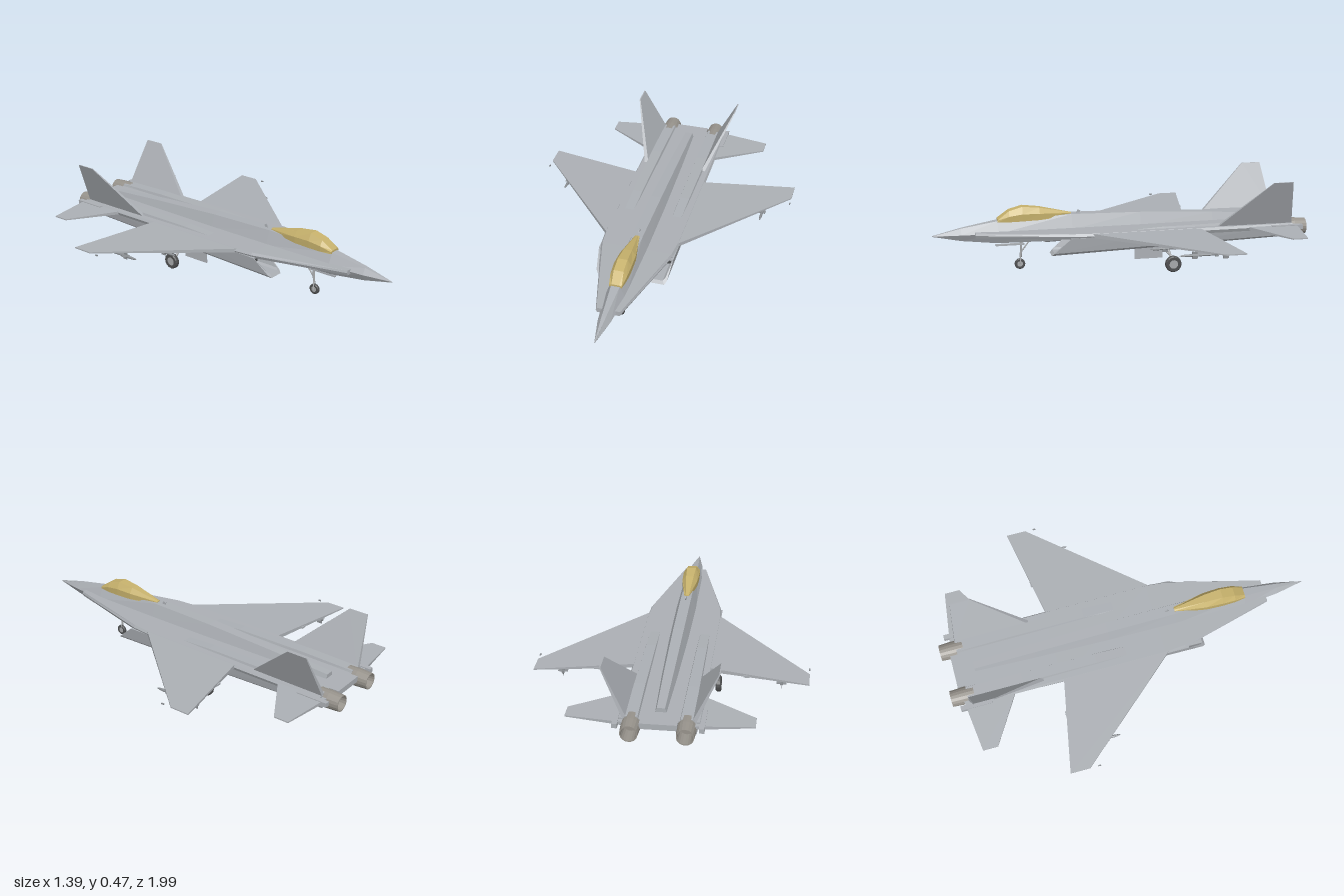
import * as THREE from 'three';

const mat = (name, color, open) => {
  const m = new THREE.MeshStandardMaterial({ color });
  m.name = name;
  m.flatShading = true;
  if (open) m.side = THREE.DoubleSide;
  return m;
};

// Closed flat-shaded solid through rings of [x, y, z]; faces are turned outward by signed volume.
function loft(rings) {
  const tris = [], n = rings[0].length;
  for (let i = 0; i < rings.length - 1; i++) {
    const p = rings[i], q = rings[i + 1];
    for (let j = 0; j < n; j++) {
      const k = (j + 1) % n;
      tris.push([p[j], q[k], p[k]], [p[j], q[j], q[k]]);
    }
  }
  const a = rings[0], b = rings[rings.length - 1];
  for (let j = 1; j < n - 1; j++) tris.push([a[0], a[j], a[j + 1]], [b[0], b[j + 1], b[j]]);
  let volume = 0;
  for (const [u, v, w] of tris) {
    volume += new THREE.Vector3(...u).dot(new THREE.Vector3(...v).cross(new THREE.Vector3(...w)));
  }
  if (volume < 0) tris.forEach(t => t.reverse());
  const g = new THREE.BufferGeometry();
  g.setAttribute('position', new THREE.Float32BufferAttribute(tris.flat(2), 3));
  g.computeVertexNormals();
  return g;
}

// Six-sided section: half widths at top, middle and bottom with their heights
const hex = ([z, t, yt, w, ym, b, yb]) =>
  [[t, yt, z], [-t, yt, z], [-w, ym, z], [-b, yb, z], [b, yb, z], [w, ym, z]];

export function createModel() {
  const root = new THREE.Group();
  root.name = 'fighterJet';
  const grey = mat('airframeGrey', 0xabafb4);
  const gold = mat('canopyGold', 0xc6b16c);
  const dark = mat('intakeDark', 0x4c4e50);
  const tyre = mat('tyreRubber', 0x4e4f50);
  const steel = mat('gearSteel', 0xa6a8aa);
  const metal = mat('nozzleMetal', 0x96928b, true);
  const store = mat('missileGrey', 0x8c9094);

  const add = (name, geo, material, parent = root) => {
    const m = new THREE.Mesh(geo, material);
    m.name = name;
    parent.add(m);
    return m;
  };
  const box = (name, w, h, d, x, y, z, material, parent) => {
    const m = add(name, new THREE.BoxGeometry(w, h, d), material, parent);
    m.position.set(x, y, z);
    return m;
  };
  const rod = (name, from, to, r, material) => {
    const a = new THREE.Vector3(...from), b = new THREE.Vector3(...to), d = b.clone().sub(a);
    const m = add(name, new THREE.CylinderGeometry(r, r, d.length(), 8), material);
    m.position.copy(a).add(b).multiplyScalar(0.5);
    m.quaternion.setFromUnitVectors(new THREE.Vector3(0, 1, 0), d.normalize());
  };

  // Nose, fuselage and tapering spine
  add('fuselage', loft([
    [1, 0.001, 0.203, 0.001, 0.201, 0.001, 0.199],
    [0.85, 0.011, 0.238, 0.032, 0.206, 0.014, 0.172],
    [0.66, 0.022, 0.271, 0.053, 0.21, 0.026, 0.153],
    [0.27, 0.028, 0.291, 0.056, 0.215, 0.028, 0.15],
    [-0.1, 0.028, 0.285, 0.052, 0.215, 0.028, 0.155],
    [-0.5, 0.025, 0.265, 0.042, 0.215, 0.025, 0.17],
    [-0.83, 0.02, 0.243, 0.03, 0.213, 0.02, 0.195],
  ].map(hex)), grey);

  // Flat body deck with leading-edge extensions
  add('bodyDeck', loft([
    [0.78, 0.06, 0.22, 0.064, 0.208, 0.058, 0.194],
    [0.28, 0.186, 0.222, 0.194, 0.209, 0.186, 0.193],
    [0.17, 0.196, 0.222, 0.204, 0.209, 0.196, 0.193],
    [-0.4, 0.195, 0.222, 0.203, 0.209, 0.195, 0.192],
    [-0.9, 0.192, 0.221, 0.2, 0.209, 0.192, 0.192],
  ].map(hex)), grey);
  box('tailDeck', 0.18, 0.03, 0.1, 0, 0.206, -0.89, grey);

  // Faceted canopy
  add('canopy', loft([
    [0.66, 0.02, 0.281, 0.032, 0.276, 0.033, 0.266],
    [0.6, 0.025, 0.322, 0.043, 0.296, 0.041, 0.266],
    [0.53, 0.025, 0.342, 0.046, 0.306, 0.044, 0.268],
    [0.44, 0.021, 0.332, 0.042, 0.304, 0.041, 0.27],
    [0.27, 0.004, 0.296, 0.012, 0.293, 0.014, 0.28],
  ].map(hex)), gold);
  box('antenna', 0.005, 0.022, 0.016, 0, 0.295, 0.23, grey).rotation.x = -0.5;

  const missile = (x, y, z, pylonTop) => {
    const g = new THREE.Group();
    g.name = 'missile';
    g.position.set(x, y, z);
    root.add(g);
    const r = 0.007, h = 0.13;
    const profile = [[0, -h], [r, -h], [r, h - 0.03], [r * 0.6, h - 0.01], [0, h]];
    add('missileBody', new THREE.LatheGeometry(profile.map(p => new THREE.Vector2(...p)), 8), store, g)
      .rotation.x = Math.PI / 2;
    for (const [fz, span] of [[-h + 0.02, 0.05], [h - 0.08, 0.036]]) {
      box('missileFin', span, 0.002, 0.03, 0, 0, fz, store, g);
      box('missileFin', 0.002, span, 0.03, 0, 0, fz, store, g);
    }
    box('pylon', 0.006, pylonTop - y, 0.1, 0, (pylonTop - y) / 2, -0.01, grey, g);
  };

  const wheel = (name, x, y, z, r, w) => {
    const g = new THREE.Group();
    g.name = name;
    g.position.set(x, y, z);
    g.rotation.z = Math.PI / 2;
    root.add(g);
    const p = [[r * 0.55, -w / 2], [r * 0.88, -w / 2], [r, -w * 0.3], [r, w * 0.3], [r * 0.88, w / 2], [r * 0.55, w / 2], [r * 0.55, -w / 2]];
    add('tyre', new THREE.LatheGeometry(p.map(v => new THREE.Vector2(...v)), 16), tyre, g);
    add('hub', new THREE.CylinderGeometry(r * 0.57, r * 0.57, w * 0.8, 12), steel, g);
  };

  for (const s of [1, -1]) {
    const solid = (name, rings, material = grey) =>
      add(name, loft(rings.map(r => r.map(([x, y, z]) => [x * s, y, z]))), material);

    // Wing and tailplane: flat slabs thinning toward the tip
    const slab = (x, y, front, back, t) => [
      [x, y + t, front], [x, y + t, back], [x, y - t, back], [x, y - t, front],
    ];
    solid('wing', [slab(0.17, 0.21, 0.215, -0.385, 0.011), slab(0.693, 0.211, -0.38, -0.485, 0.003)]);
    solid('tailplane', [slab(0.17, 0.205, -0.64, -0.925, 0.009), slab(0.452, 0.205, -0.81, -0.89, 0.003)]);
    box('tailBoom', 0.026, 0.024, 0.17, s * 0.205, 0.205, -0.865, grey);

    // Canted fin with square edges
    const fin = (x, y, front, back, t) => [
      [x + t, y, front], [x + t, y, back], [x - t, y, back], [x - t, y, front],
    ];
    solid('verticalFin', [fin(0.164, 0.218, -0.49, -0.9, 0.011), fin(0.279, 0.465, -0.76, -0.865, 0.003)]);

    // Engine nacelle, hollow behind its raked inlet
    const duct = (zt, zb, yt, yb, x0, x1) => {
      const h = yt - yb;
      return [[x0, 1], [x1, 1], [x1 - 0.012, 0.14], [x1 - 0.022, 0], [x0 + 0.024, 0], [x0 + 0.013, 0.14]]
        .map(([x, f]) => [x, yb + h * f, zb + (zt - zb) * f]);
    };
    solid('nacelle', [
      duct(-0.9, -0.9, 0.215, 0.148, 0.083, 0.19),
      duct(-0.2, -0.2, 0.21, 0.129, 0.078, 0.2),
      duct(0.3, 0.4, 0.2, 0.11, 0.078, 0.2),
      duct(0.3, 0.387, 0.191, 0.125, 0.086, 0.19),
      duct(0.24, 0.24, 0.191, 0.128, 0.087, 0.189),
    ]);
    solid('intakeOpening', [
      duct(0.248, 0.248, 0.191, 0.127, 0.087, 0.189), duct(0.241, 0.241, 0.191, 0.127, 0.087, 0.189),
    ], dark);

    // Raised fairing above the engine
    const hump = (z, y, w) => [
      [0.133 - w, 0.21, z], [0.133 - w * 0.78, y, z], [0.133 + w * 0.78, y, z], [0.133 + w, 0.21, z],
    ];
    solid('engineFairing', [hump(0.02, 0.219, 0.03), hump(-0.2, 0.231, 0.033), hump(-0.6, 0.236, 0.036), hump(-0.9, 0.232, 0.04)]);

    // Open exhaust nozzle
    const pipe = [[0.046, 0], [0.047, 0.06], [0.043, 0.125], [0.038, 0.125], [0.034, 0.02]];
    const nozzle = add('nozzle', new THREE.LatheGeometry(pipe.map(p => new THREE.Vector2(...p)), 18), metal);
    nozzle.rotation.x = -Math.PI / 2;
    nozzle.position.set(s * 0.132, 0.19, -0.863);
    const core = add('nozzleCore', new THREE.CircleGeometry(0.036, 18), metal);
    core.rotation.y = Math.PI;
    core.position.set(s * 0.132, 0.19, -0.905);

    // Main landing gear
    wheel('mainWheel', s * 0.226, 0.044, -0.235, 0.043, 0.027);
    rod('mainStrut', [s * 0.212, 0.045, -0.235], [s * 0.145, 0.13, -0.22], 0.007, steel);
    rod('mainBrace', [s * 0.19, 0.075, -0.235], [s * 0.16, 0.135, -0.17], 0.004, steel);
    box('mainGearDoor', 0.005, 0.07, 0.15, s * 0.165, 0.1, -0.115, grey);

    // Stores, wing-tip light and flap hinge fairing
    missile(s * 0.555, 0.18, -0.31, 0.21);
    missile(s * 0.382, 0.174, -0.2, 0.21);
    missile(s * 0.05, 0.13, -0.1, 0.195);
    box('tipLight', 0.006, 0.006, 0.015, s * 0.692, 0.211, -0.33, store);
    box('flapFairing', 0.03, 0.01, 0.07, s * 0.38, 0.206, -0.395, grey);

    // Nose wheel fork
    rod('noseFork', [s * 0.011, 0.028, 0.545], [s * 0.004, 0.075, 0.54], 0.003, steel);
  }

  // Nose landing gear
  wheel('noseWheel', 0, 0.028, 0.545, 0.028, 0.017);
  rod('noseStrut', [0, 0.065, 0.54], [0, 0.16, 0.535], 0.006, steel);
  rod('noseBrace', [0, 0.09, 0.54], [0, 0.155, 0.49], 0.004, steel);
  box('noseGearDoor', 0.014, 0.009, 0.15, 0, 0.136, 0.595, grey);
  return root;
}
